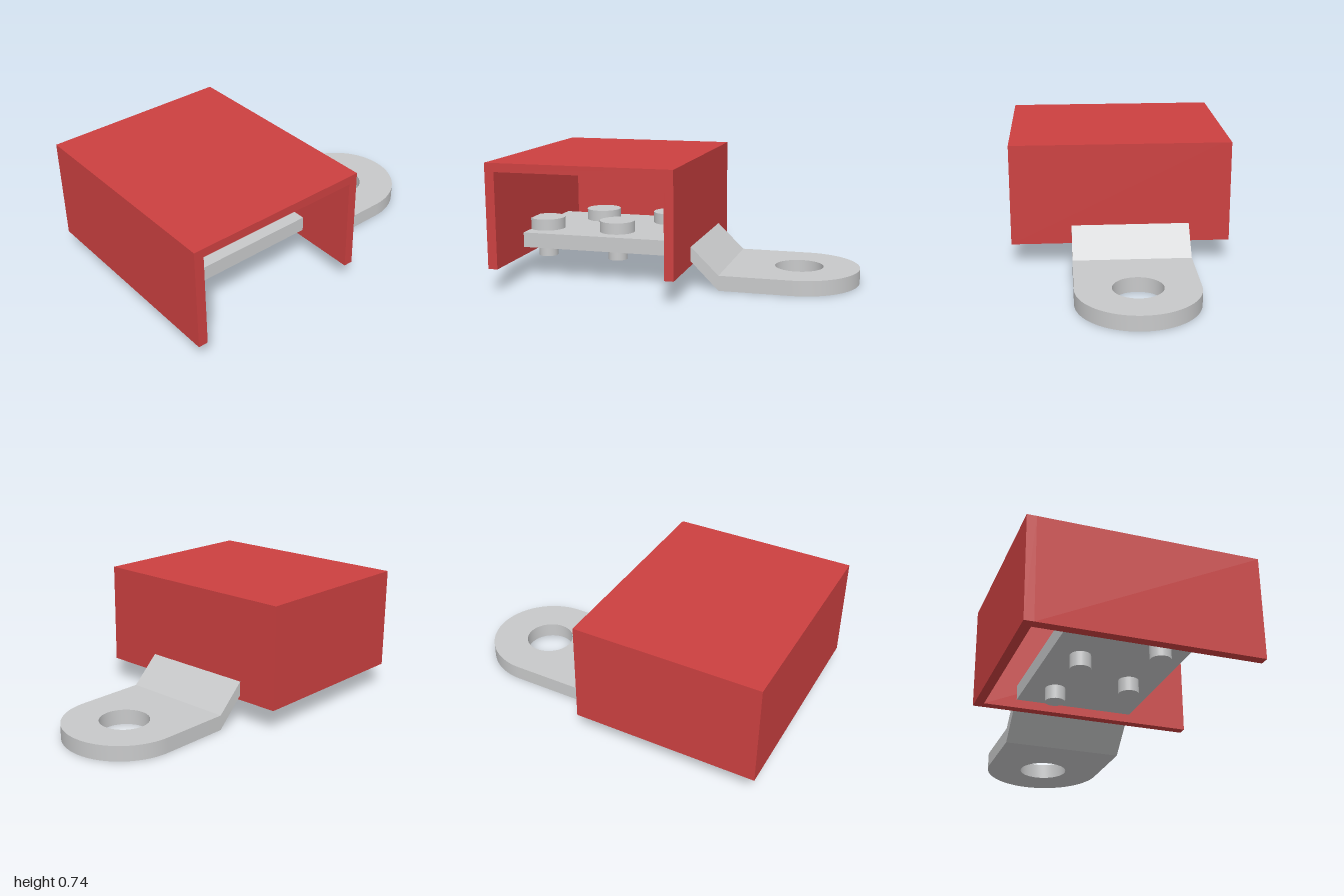
import * as THREE from 'three';
import { toCreasedNormals } from 'three/addons/utils/BufferGeometryUtils.js';

export function createModel() {
  const model = new THREE.Group();
  const red = new THREE.MeshStandardMaterial({ color: 0xcc4040 });
  red.name = 'red cover';
  const metal = new THREE.MeshStandardMaterial({ color: 0xc8c9ca });
  metal.name = 'grey metal';

  const add = (parent, name, geometry, material, x = 0, y = 0, z = 0) => {
    const mesh = new THREE.Mesh(geometry, material);
    mesh.name = name;
    mesh.position.set(x, y, z);
    parent.add(mesh);
    return mesh;
  };
  const polygon = (points) => new THREE.Shape(points.map(([x, y]) => new THREE.Vector2(x, y)));
  const extrude = (shape, depth) =>
    new THREE.ExtrudeGeometry(shape, { depth, bevelEnabled: false, curveSegments: 32 });

  // Cover: arch-shaped shell, open at the front and below, closed at the back
  const cover = new THREE.Group();
  cover.name = 'cover';
  model.add(cover);
  const arch = polygon([
    [-1, 0.135], [-0.945, 0.135], [-0.945, 0.685], [0.025, 0.685],
    [0.025, 0.135], [0.078, 0.135], [0.078, 0.735], [-1, 0.735],
  ]);
  add(cover, 'coverShell', extrude(arch, 1.24), red, 0, 0, -0.595);
  add(cover, 'coverBack', new THREE.BoxGeometry(1.078, 0.6, 0.053), red, -0.461, 0.435, -0.6215);

  // Lug: flat plate under the cover, bent down to a rounded pad with a hole
  const lug = new THREE.Group();
  lug.name = 'lug';
  model.add(lug);
  const width = 0.694, centerZ = -0.058;
  const bend = polygon([
    [-0.999, 0.185], [0.055, 0.185], [0.24, 0], [0.24, 0.088],
    [0.05, 0.273], [-0.999, 0.273],
  ]);
  add(lug, 'lugPlate', extrude(bend, width), metal, 0, 0, centerZ - width / 2);

  const r = width / 2, holeX = 1 - r;
  const padShape = new THREE.Shape();
  padShape.moveTo(0.24, -r);
  padShape.lineTo(holeX, -r);
  padShape.absarc(holeX, 0, r, -Math.PI / 2, Math.PI / 2, false);
  padShape.lineTo(0.24, r);
  padShape.closePath();
  const hole = new THREE.Path();
  hole.absarc(holeX - 0.005, 0, 0.142, 0, Math.PI * 2, true);
  padShape.holes.push(hole);
  const pad = toCreasedNormals(extrude(padShape, 0.088).rotateX(-Math.PI / 2), 0.5);
  add(lug, 'lugPad', pad, metal, 0, 0, centerZ);

  // Four staggered bolts through the plate
  for (const [x, z] of [[-0.19, -0.24], [-0.63, -0.24], [-0.42, 0.11], [-0.865, 0.11]]) {
    const bolt = new THREE.Group();
    bolt.name = 'bolt';
    bolt.position.set(x, 0, z);
    model.add(bolt);
    add(bolt, 'boltHead', new THREE.CylinderGeometry(0.105, 0.105, 0.068, 32), metal, 0, 0.306, 0);
    add(bolt, 'boltShank', new THREE.CylinderGeometry(0.057, 0.057, 0.1, 24), metal, 0, 0.155, 0);
  }
  return model;
}
